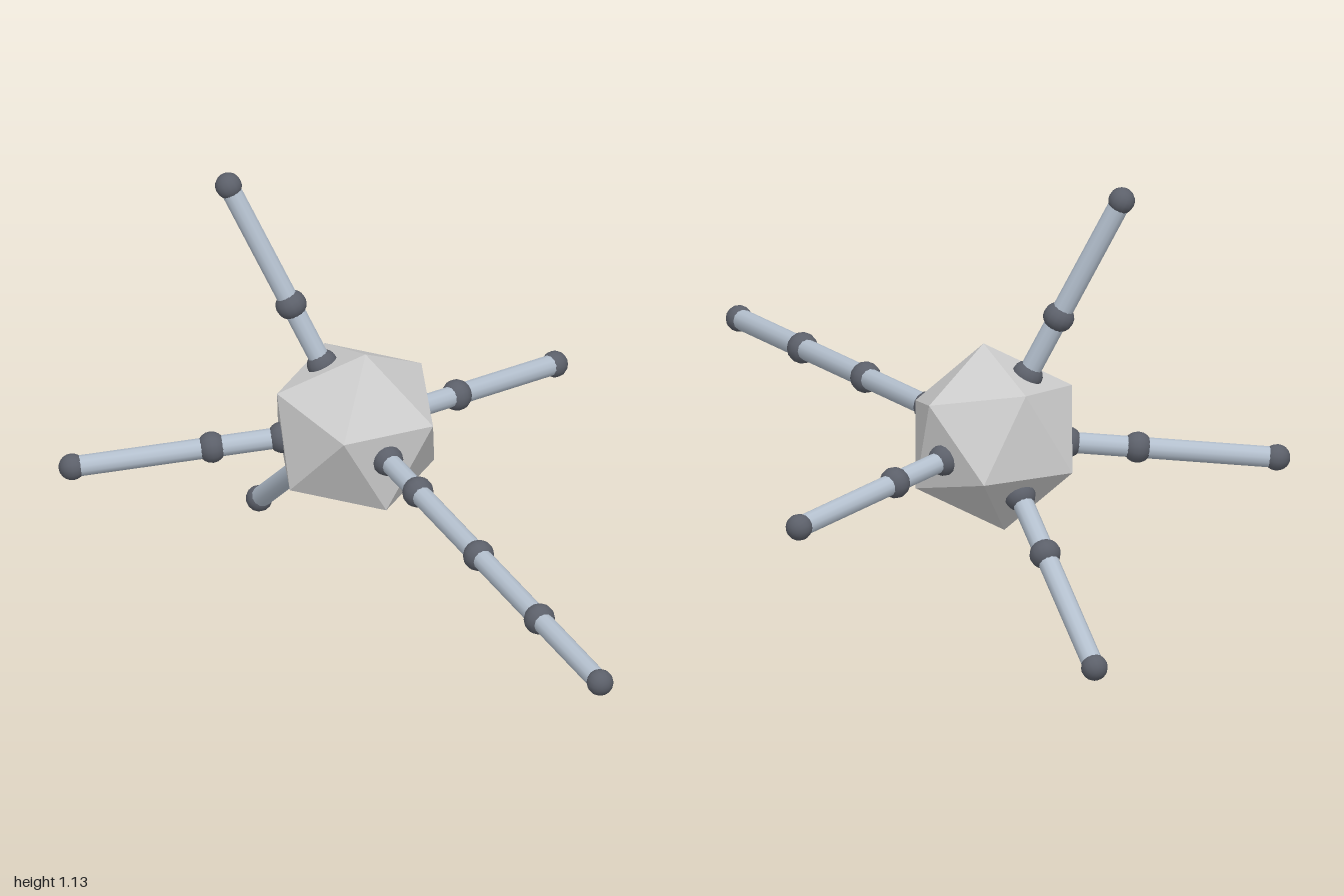
import * as THREE from 'three';

const bodyMat = new THREE.MeshStandardMaterial({ color: 0xcccccc, flatShading: true });
const rodMat = new THREE.MeshStandardMaterial({ color: 0xb4c0ce });
const jointMat = new THREE.MeshStandardMaterial({ color: 0x5c606a });
const UP = new THREE.Vector3(0, 1, 0);

function part(name, geometry, material, position, direction) {
  const mesh = new THREE.Mesh(geometry, material);
  mesh.name = name;
  mesh.position.copy(position);
  mesh.quaternion.setFromUnitVectors(UP, direction);
  return mesh;
}

// A straight chain of rods with a ball at every joint and a smaller ball at the tip
function limb(name, base, tip, segments) {
  const group = new THREE.Group();
  group.name = name;
  const a = new THREE.Vector3(...base), b = new THREE.Vector3(...tip);
  const dir = b.clone().sub(a).normalize();
  const step = 0.345;

  // Full-length segments count back from the tip; the first one is shorter
  const points = [a];
  for (let i = segments - 1; i >= 0; i--) points.push(b.clone().addScaledVector(dir, -step * i));

  points.forEach((p, i) => {
    const isTip = i === points.length - 1;
    const ball = part(isTip ? 'tipBall' : 'jointBall',
      new THREE.SphereGeometry(isTip ? 0.033 : 0.039, 14, 10), jointMat, p, dir);
    if (!isTip) ball.scale.y = 0.92;
    group.add(ball);
    if (i === 0) return;
    const q = points[i - 1];
    group.add(part('rod', new THREE.CylinderGeometry(0.026, 0.026, p.distanceTo(q), 12),
      rodMat, p.clone().add(q).multiplyScalar(0.5), dir));
  });
  return group;
}

export function createModel() {
  const model = new THREE.Group();
  model.name = 'jointedLimbModel';

  // Faceted core, tilted about the side axis
  const body = new THREE.Mesh(new THREE.IcosahedronGeometry(0.23, 0), bodyMat);
  body.name = 'body';
  body.position.set(0, 0.475, -0.42);
  body.rotation.x = THREE.MathUtils.degToRad(72.5);
  model.add(body);

  // Limbs start at the centres of the core's faces
  model.add(limb('frontLimb', [0, 0.465, -0.238], [0, 0.4, 0.967], 4));
  model.add(limb('backLimb', [0, 0.362, -0.562], [0, 0.034, -0.967], 2));
  model.add(limb('upperLimb', [-0.065, 0.637, -0.472], [-0.25, 1.098, -0.618], 2));
  for (const s of [1, -1]) {
    model.add(limb(s > 0 ? 'leftLimb' : 'rightLimb', [0.17 * s, 0.455, -0.482], [0.654 * s, 0.398, -0.66], 2));
  }
  return model;
}
